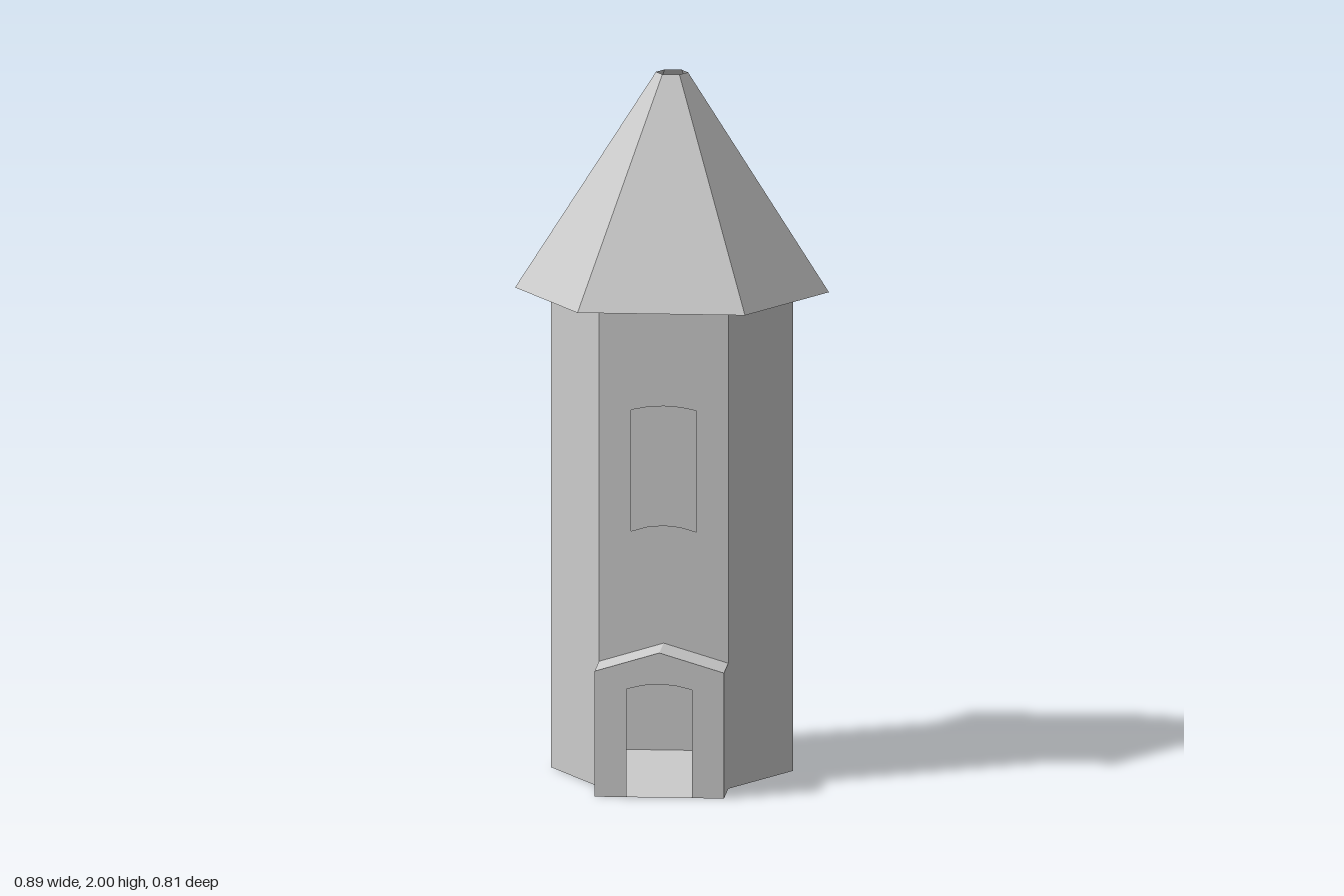
import * as THREE from 'three';

const CENTRE_Z = -0.035;
const FRONT_Z = 0.252, PORCH_Z = 0.403;
const HALF = 0.183;             // half width of the front wall and porch
const EAVE = 0.36, RIDGE = 0.415;
const TOWER_TOP = 1.44;

const material = new THREE.MeshStandardMaterial({
  color: 0xcccccc, flatShading: true, side: THREE.DoubleSide,
});

// Six corners of the slightly widened hexagon, counter-clockwise from front left, seen from above
function hexagon(scale, y) {
  return [[-HALF, 0.287], [HALF, 0.287], [0.343, 0], [HALF, -0.287], [-HALF, -0.287], [-0.343, 0]]
    .map(([x, z]) => new THREE.Vector3(x * scale, y, z * scale + CENTRE_Z));
}

// Strip of flat panels between two matching rows of points
function strip(lower, upper) {
  const points = [];
  for (let i = 0; i < lower.length - 1; i++) {
    const [a, b, c, d] = [lower[i], lower[i + 1], upper[i + 1], upper[i]];
    points.push(a, b, c, a, c, d);
  }
  const geometry = new THREE.BufferGeometry().setFromPoints(points);
  geometry.computeVertexNormals();
  return geometry;
}

// Opening with a shallow arched head and, for a window, a matching arched sill
function arch(path, halfWidth, bottom, top, sillRise, headRise) {
  path.moveTo(-halfWidth, bottom);
  path.quadraticCurveTo(0, bottom + 2 * sillRise, halfWidth, bottom);
  path.lineTo(halfWidth, top);
  path.quadraticCurveTo(0, top + 2 * headRise, -halfWidth, top);
  path.closePath();
  return path;
}

export function createModel() {
  const group = new THREE.Group();
  const add = (name, geometry) => {
    const mesh = new THREE.Mesh(geometry, material);
    mesh.name = name;
    group.add(mesh);
    return mesh;
  };

  // Hollow tower: five plain walls
  const base = hexagon(1, 0), top = hexagon(1, TOWER_TOP);
  const order = [1, 2, 3, 4, 5, 0];
  add('towerWalls', strip(order.map(i => base[i]), order.map(i => top[i])));

  // Front wall, open to the porch below and pierced by a window
  const front = new THREE.Shape([
    [-HALF, EAVE], [0, RIDGE], [HALF, EAVE], [HALF, TOWER_TOP], [-HALF, TOWER_TOP],
  ].map(p => new THREE.Vector2(...p)));
  front.holes.push(arch(new THREE.Path(), 0.093, 0.735, 1.083, 0.018, 0.012));
  add('frontWall', new THREE.ShapeGeometry(front, 4)).position.z = FRONT_Z;

  // Hollow roof with a small opening at its tip
  const eaves = hexagon(1.295, 1.375), tip = hexagon(0.132, 2);
  add('roof', strip([...eaves, eaves[0]], [...tip, tip[0]]));

  // Porch shell: side walls and gabled roof
  const gable = [[HALF, 0], [HALF, EAVE], [0, RIDGE], [-HALF, EAVE], [-HALF, 0]];
  const row = z => gable.map(([x, y]) => new THREE.Vector3(x, y, z));
  add('porchShell', strip(row(PORCH_Z), row(FRONT_Z)));

  // Porch front with an arched doorway reaching the ground
  const face = new THREE.Shape();
  face.moveTo(-HALF, 0);
  face.lineTo(-0.093, 0);
  face.lineTo(-0.093, 0.31);
  face.quadraticCurveTo(0, 0.34, 0.093, 0.31);
  face.lineTo(0.093, 0);
  face.lineTo(HALF, 0);
  face.lineTo(HALF, EAVE);
  face.lineTo(0, RIDGE);
  face.lineTo(-HALF, EAVE);
  face.closePath();
  add('porchFront', new THREE.ShapeGeometry(face, 4)).position.z = PORCH_Z;

  // One floor under the tower and the porch
  const outline = [new THREE.Vector2(-HALF, PORCH_Z), new THREE.Vector2(HALF, PORCH_Z),
    ...order.map(i => new THREE.Vector2(base[i].x, base[i].z))];
  add('floor', new THREE.ShapeGeometry(new THREE.Shape(outline))).rotation.x = Math.PI / 2;

  return group;
}
